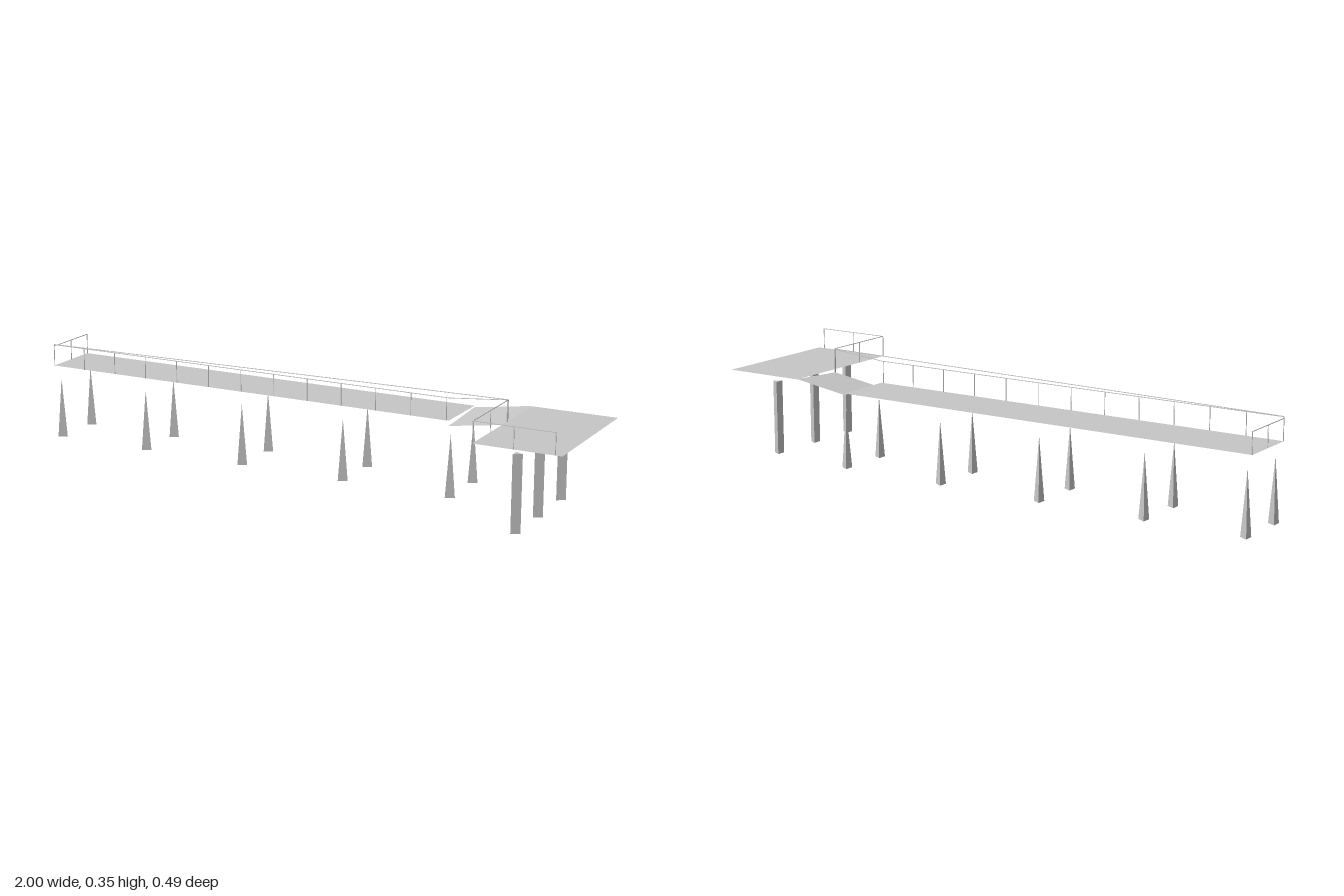
import * as THREE from 'three';

export function createModel() {
  const model = new THREE.Group();
  const grey = new THREE.MeshStandardMaterial({ color: 0xc6c6c6, side: THREE.DoubleSide, flatShading: true });
  grey.name = 'pale grey';

  const add = (name, geometry, parent = model) => {
    const mesh = new THREE.Mesh(geometry, grey);
    mesh.name = name;
    parent.add(mesh);
    return mesh;
  };

  // Thin sheet between a start and an end x; y given as [back, front] at each end
  const sheet = (name, x0, x1, zBack, zFront, y0, y1) => {
    const g = new THREE.BufferGeometry();
    g.setAttribute('position', new THREE.Float32BufferAttribute([
      x0, y0[0], zBack, x0, y0[1], zFront, x1, y1[1], zFront, x1, y1[0], zBack], 3));
    g.setIndex([0, 1, 2, 0, 2, 3]);
    g.computeVertexNormals();
    return add(name, g);
  };
  const back = -0.24, front = -0.035;
  sheet('walkwayDeck', -1, 0.51, back, front, [0.257, 0.257], [0.257, 0.257]);
  sheet('ramp', 0.51, 0.71, back, front, [0.252, 0.24], [0.282, 0.27]);
  sheet('platformDeck', 0.71, 1, back, 0.24, [0.281, 0.281], [0.281, 0.281]);

  // Thin square bar between two points
  const bar = (name, a, b, parent, size = 0.002) => {
    const p = new THREE.Vector3(...a), q = new THREE.Vector3(...b);
    const mesh = add(name, new THREE.BoxGeometry(size, size, p.distanceTo(q)), parent);
    mesh.position.copy(p).add(q).multiplyScalar(0.5);
    mesh.lookAt(q);
  };

  // Walkway railing
  const railing = new THREE.Group();
  railing.name = 'walkwayRailing';
  model.add(railing);
  for (let i = 0; i <= 12; i++) {
    const x = -0.998 + i * 0.125;
    bar('railPost', [x, 0.257, front], [x, 0.332, front], railing);
  }
  bar('rampPost', [0.71, 0.27, front], [0.71, 0.352, front], railing, 0.004);
  bar('handrail', [-0.998, 0.332, front], [0.51, 0.332, front], railing);
  bar('rampHandrail', [0.51, 0.332, front], [0.71, 0.351, front], railing);
  bar('straightHandrail', [-0.998, 0.333, front], [0.71, 0.352, front], railing);
  for (const z of [-0.138, -0.239]) bar('endPost', [-0.998, 0.257, z], [-0.998, 0.327, z], railing);
  bar('endRail', [-0.998, 0.327, front], [-0.998, 0.327, -0.239], railing);

  // Platform railing along its front and inner side
  const platformRailing = new THREE.Group();
  platformRailing.name = 'platformRailing';
  model.add(platformRailing);
  const posts = [[0.978, 0.24], [0.845, 0.24], [0.712, 0.24], [0.712, 0.105], [0.712, -0.03]];
  posts.forEach(([x, z], i) => {
    bar('platformPost', [x, 0.281, z], [x, 0.352, z], platformRailing);
    if (i) bar('platformRail', [posts[i - 1][0], 0.352, posts[i - 1][1]], [x, 0.352, z], platformRailing);
  });

  // Three-sided tapering piles under the walkway
  [-0.98, -0.632, -0.252, 0.128, 0.513].forEach((x) => {
    for (const z of [-0.047, -0.228]) {
      const pile = add('walkwayPile', new THREE.ConeGeometry(0.019, 0.21, 3));
      pile.position.set(x, 0.105, z);
      pile.rotation.y = Math.PI / 2;
    }
  });

  // Three-sided straight piles under the platform
  for (const z of [0.184, 0.002, -0.194]) {
    const pile = add('platformPile', new THREE.CylinderGeometry(0.018, 0.018, 0.253, 3));
    pile.position.set(0.835, 0.1265, z);
    pile.rotation.y = Math.PI / 2;
  }
  return model;
}
